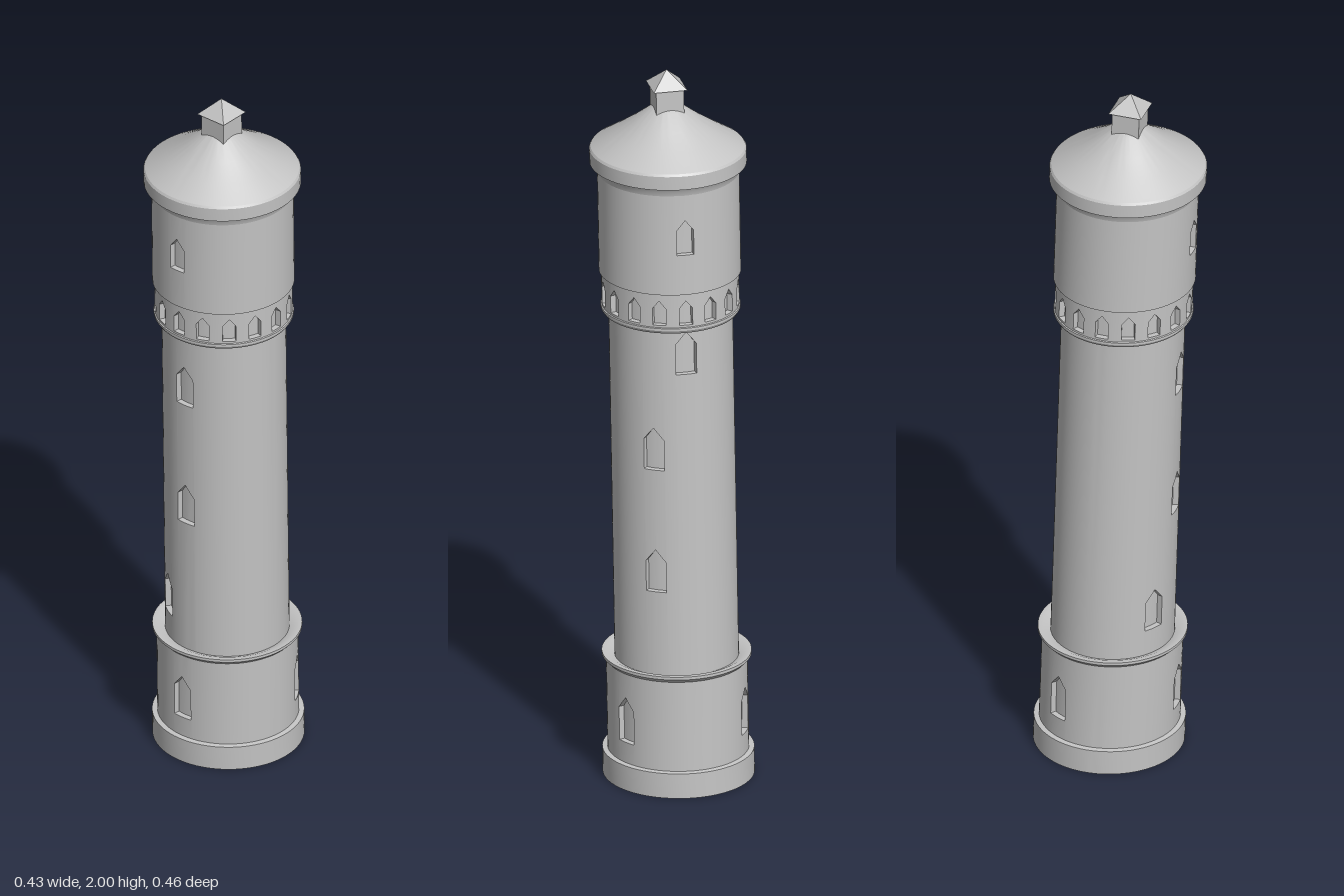
import * as THREE from 'three';
import { toCreasedNormals } from 'three/addons/utils/BufferGeometryUtils.js';

const stone = new THREE.MeshStandardMaterial({ color: 0xc4c4c4 });
stone.name = 'stone grey';

// The whole tower leans: each level slides sideways but stays horizontal
const lean = new THREE.Matrix4().set(
  1, 0.0105, 0, -0.012,
  0, 1, 0, 0,
  0, 0.027, 1, -0.027,
  0, 0, 0, 1);

const rad = THREE.MathUtils.degToRad;

function part(group, name, geometry) {
  geometry.applyMatrix4(lean);
  const mesh = new THREE.Mesh(toCreasedNormals(geometry, 0.5), stone);
  mesh.name = name;
  group.add(mesh);
}

function lathe(points) {
  return new THREE.LatheGeometry(points.map(([r, y]) => new THREE.Vector2(r, y)), 72);
}

// Pointed opening: angle from the front in degrees, height range, width
function opening(angle, y0, y1, width, r) {
  return { c: (angle + 360) % 360, y0, y1, h: THREE.MathUtils.radToDeg(width / r) / 2, rise: width * 0.6 };
}

// Round wall from y0 to y1 with recessed pointed openings
function wall(r, y0, y1, openings, depth = 0.016) {
  const pos = [];
  const point = (a, y, radius) => [radius * Math.sin(rad(a)), y, radius * Math.cos(rad(a))];
  const quad = (a, b, c, d) => pos.push(...a, ...b, ...c, ...a, ...c, ...d);
  const topAt = (o, offset) => o.y1 - o.rise * Math.abs(offset) / o.h;
  const signed = (a, o) => ((a - o.c + 540) % 360) - 180;

  // Column edges: an even ring plus the sides and tip of each opening
  const edges = [];
  for (let i = 0; i < 72; i++) edges.push(i * 5);
  for (const o of openings) for (const k of [-1, 0, 1]) edges.push((o.c + k * o.h + 360) % 360);
  edges.sort((a, b) => a - b);
  const ring = edges.filter((a, i) => i === 0 || a - edges[i - 1] > 1e-4);
  ring.push(360);

  for (let i = 0; i < ring.length - 1; i++) {
    const a = ring[i], b = ring[i + 1], mid = (a + b) / 2, ri = r - depth;
    const here = openings.filter(o => Math.abs(signed(mid, o)) < o.h).sort((p, q) => p.y0 - q.y0);
    let ya = y0, yb = y0;
    for (const o of here) {
      const sa = signed(mid, o) + a - mid, sb = signed(mid, o) + b - mid;
      const ta = topAt(o, sa), tb = topAt(o, sb);
      quad(point(a, ya, r), point(b, yb, r), point(b, o.y0, r), point(a, o.y0, r));
      quad(point(a, o.y0, ri), point(b, o.y0, ri), point(b, tb, ri), point(a, ta, ri));
      // sill and head
      quad(point(a, o.y0, r), point(b, o.y0, r), point(b, o.y0, ri), point(a, o.y0, ri));
      quad(point(a, ta, ri), point(b, tb, ri), point(b, tb, r), point(a, ta, r));
      // jambs
      if (Math.abs(sa + o.h) < 1e-3) quad(point(a, o.y0, r), point(a, o.y0, ri), point(a, ta, ri), point(a, ta, r));
      if (Math.abs(sb - o.h) < 1e-3) quad(point(b, o.y0, ri), point(b, o.y0, r), point(b, tb, r), point(b, tb, ri));
      ya = ta;
      yb = tb;
    }
    quad(point(a, ya, r), point(b, yb, r), point(b, y1, r), point(a, y1, r));
  }
  const geometry = new THREE.BufferGeometry();
  geometry.setAttribute('position', new THREE.Float32BufferAttribute(pos, 3));
  return geometry;
}

export function createModel() {
  const tower = new THREE.Group();
  tower.name = 'waterTower';

  // Base storey
  part(tower, 'plinth', lathe([[0, 0], [0.203, 0], [0.203, 0.07], [0.187, 0.072]]));
  part(tower, 'baseWall', wall(0.189, 0.07, 0.328,
    [0, 120, 240].map(a => opening(a, 0.13, 0.258, 0.057, 0.189))));
  part(tower, 'baseCornice', lathe([[0.188, 0.325], [0.2, 0.337], [0.2, 0.345], [0.186, 0.345], [0.165, 0.335]]));

  // Shaft with windows climbing around it
  const shaftR = 0.166;
  const shaftWindows = [[-31, 0.47], [0, 0.793], [0, 1.167], [149, 0.632], [149, 0.98], [181, 1.255]];
  part(tower, 'shaft', wall(shaftR, 0.33, 1.33,
    shaftWindows.map(([a, y]) => opening(a, y - 0.06, y + 0.06, 0.057, shaftR))));

  // Tank storey: ledge, niche frieze and drum
  part(tower, 'tankLedge', lathe([[0.165, 1.315], [0.182, 1.32], [0.187, 1.328], [0.187, 1.335], [0.182, 1.338]]));
  const niches = [];
  for (let i = 0; i < 16; i++) niches.push(opening(i * 22.5, 1.343, 1.412, 0.036, 0.184));
  part(tower, 'nicheFrieze', wall(0.184, 1.33, 1.432, niches));
  part(tower, 'drumLip', lathe([[0.183, 1.43], [0.19, 1.432]]));
  part(tower, 'drum', wall(0.19, 1.432, 1.725,
    [0, 180].map(a => opening(a, 1.545, 1.643, 0.047, 0.19))));
  part(tower, 'eavesCornice', lathe([[0.19, 1.715], [0.193, 1.728], [0.199, 1.738], [0.21, 1.74], [0.21, 1.778], [0.206, 1.784]]));

  // Slightly hollow conical roof with a square lantern
  part(tower, 'roof', lathe([[0.206, 1.784], [0.15, 1.819], [0.095, 1.856], [0.05, 1.89], [0.025, 1.905], [0, 1.91]]));
  part(tower, 'lantern', new THREE.BoxGeometry(0.076, 0.08, 0.076).translate(0, 1.915, 0));
  part(tower, 'lanternRoof', new THREE.ConeGeometry(0.046 * Math.SQRT2, 0.046, 4, 1)
    .rotateY(Math.PI / 4).translate(0, 1.977, 0));

  return tower;
}
